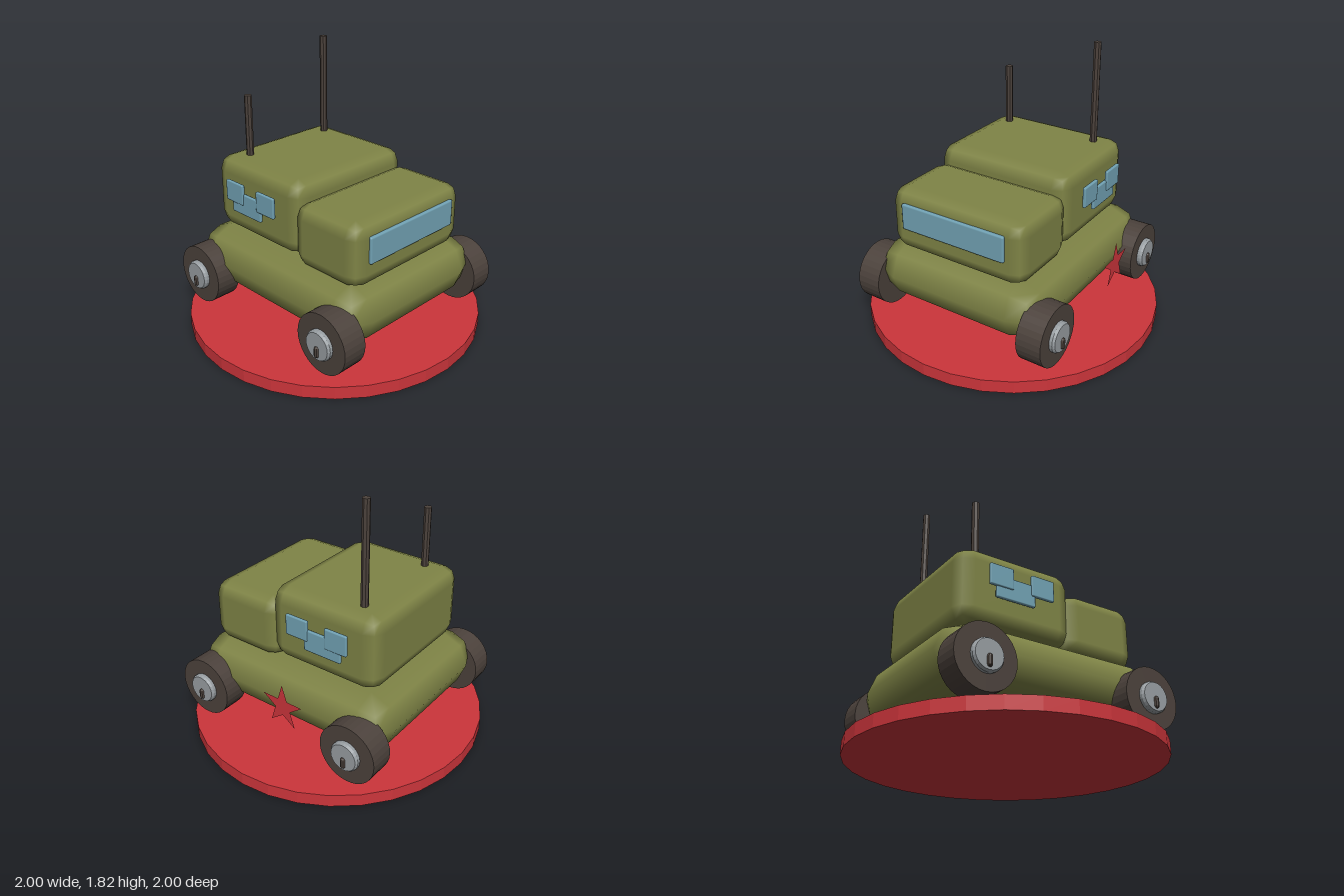
import * as THREE from 'three';
import { RoundedBoxGeometry } from 'three/addons/geometries/RoundedBoxGeometry.js';

export function createModel() {
  const root = new THREE.Group();
  root.name = 'toyTruckOnStand';

  const material = (name, color, extra = {}) => {
    const m = new THREE.MeshStandardMaterial({ color, ...extra });
    m.name = name;
    return m;
  };
  const olive = material('olive', 0x7f8446);
  const red = material('red', 0xcc353b, { flatShading: true, side: THREE.DoubleSide });
  const glass = material('glassBlue', 0x72a3b5);
  const dark = material('darkBrown', 0x4c423c, { flatShading: true });
  const grey = material('hubGrey', 0x989ea2, { flatShading: true });

  const add = (parent, name, geometry, mat, x, y, z) => {
    const mesh = new THREE.Mesh(geometry, mat);
    mesh.name = name;
    mesh.position.set(x, y, z);
    parent.add(mesh);
    return mesh;
  };
  // Bevelled block given by its min and max corners
  const block = (parent, name, mat, [x0, y0, z0], [x1, y1, z1], radius) =>
    add(parent, name, new RoundedBoxGeometry(x1 - x0, y1 - y0, z1 - z0, 1, radius), mat,
      (x0 + x1) / 2, (y0 + y1) / 2, (z0 + z1) / 2);

  // Round stand
  add(root, 'stand', new THREE.CylinderGeometry(1, 1, 0.085, 32), red, 0, 0.0425, 0);

  // Hull and the two cabin blocks
  block(root, 'hull', olive, [-0.62, 0.24, -0.76], [0.62, 0.625, 0.755], 0.19);
  block(root, 'rearCabin', olive, [-0.49, 0.635, -0.635], [0.49, 1.14, 0.175], 0.1);
  block(root, 'frontCabin', olive, [-0.497, 0.6, 0.12], [0.497, 1.027, 0.667], 0.095);

  // Windscreen
  block(root, 'windscreen', glass, [-0.385, 0.767, 0.655], [0.38, 0.945, 0.685], 0.012);

  // Side windows: two upper panes overlapping a lower one
  const panes = [
    ['frontPane', -0.165, 0, 0.88, 1.02, 0.517],
    ['rearPane', -0.46, -0.295, 0.88, 1.02, 0.517],
    ['lowerPane', -0.41, -0.135, 0.81, 0.955, 0.509],
  ];
  for (const side of [1, -1]) {
    const windows = new THREE.Group();
    windows.name = side > 0 ? 'leftWindows' : 'rightWindows';
    for (const [name, z0, z1, y0, y1, x] of panes) {
      const pane = block(windows, name, glass, [x, y0, z0], [x + 0.024, y1, z1], 0.008);
      pane.position.x *= side;
    }
    root.add(windows);
  }

  // Wheels, built along +y and laid over to point outwards
  const hubProfile = [[0, 0], [0.1, 0], [0.1, 0.105], [0.09, 0.12], [0, 0.12]]
    .map(([r, y]) => new THREE.Vector2(r, y));
  const tyreGeo = new THREE.CylinderGeometry(0.2, 0.2, 0.17, 32);
  const hubGeo = new THREE.LatheGeometry(hubProfile, 24);
  const nubGeo = new THREE.CapsuleGeometry(0.017, 0.044, 3, 8);
  for (const side of [1, -1]) {
    for (const end of [1, -1]) {
      const wheel = new THREE.Group();
      wheel.name = (end > 0 ? 'front' : 'rear') + (side > 0 ? 'Left' : 'Right') + 'Wheel';
      wheel.position.set(side * 0.62, 0.33, end * 0.588);
      const tyre = add(wheel, 'tyre', tyreGeo, dark, 0, 0, 0);
      tyre.rotation.z = -side * Math.PI / 2;
      const hub = add(wheel, 'hub', hubGeo, grey, 0, 0, 0);
      hub.rotation.z = -side * Math.PI / 2;
      add(wheel, 'hubNub', nubGeo, dark, side * 0.12, -0.037, 0);
      root.add(wheel);
    }
  }

  // Two antennas of different height
  for (const [name, x, top] of [['tallAntenna', 0.342, 1.82], ['shortAntenna', -0.335, 1.545]]) {
    const h = top - 1.05;
    add(root, name, new THREE.CylinderGeometry(0.025, 0.025, h, 8), dark, x, 1.05 + h / 2, -0.45);
  }

  // Flat star plate on the left side
  const star = new THREE.Shape();
  for (let i = 0; i < 10; i++) {
    const r = i % 2 ? 0.061 : 0.158;
    const a = Math.PI / 2 + i * Math.PI / 5;
    star[i ? 'lineTo' : 'moveTo'](r * Math.cos(a), r * Math.sin(a));
  }
  star.closePath();
  add(root, 'star', new THREE.ShapeGeometry(star), red, 0.72, 0.48, -0.11).rotation.y = Math.PI / 2;

  return root;
}
